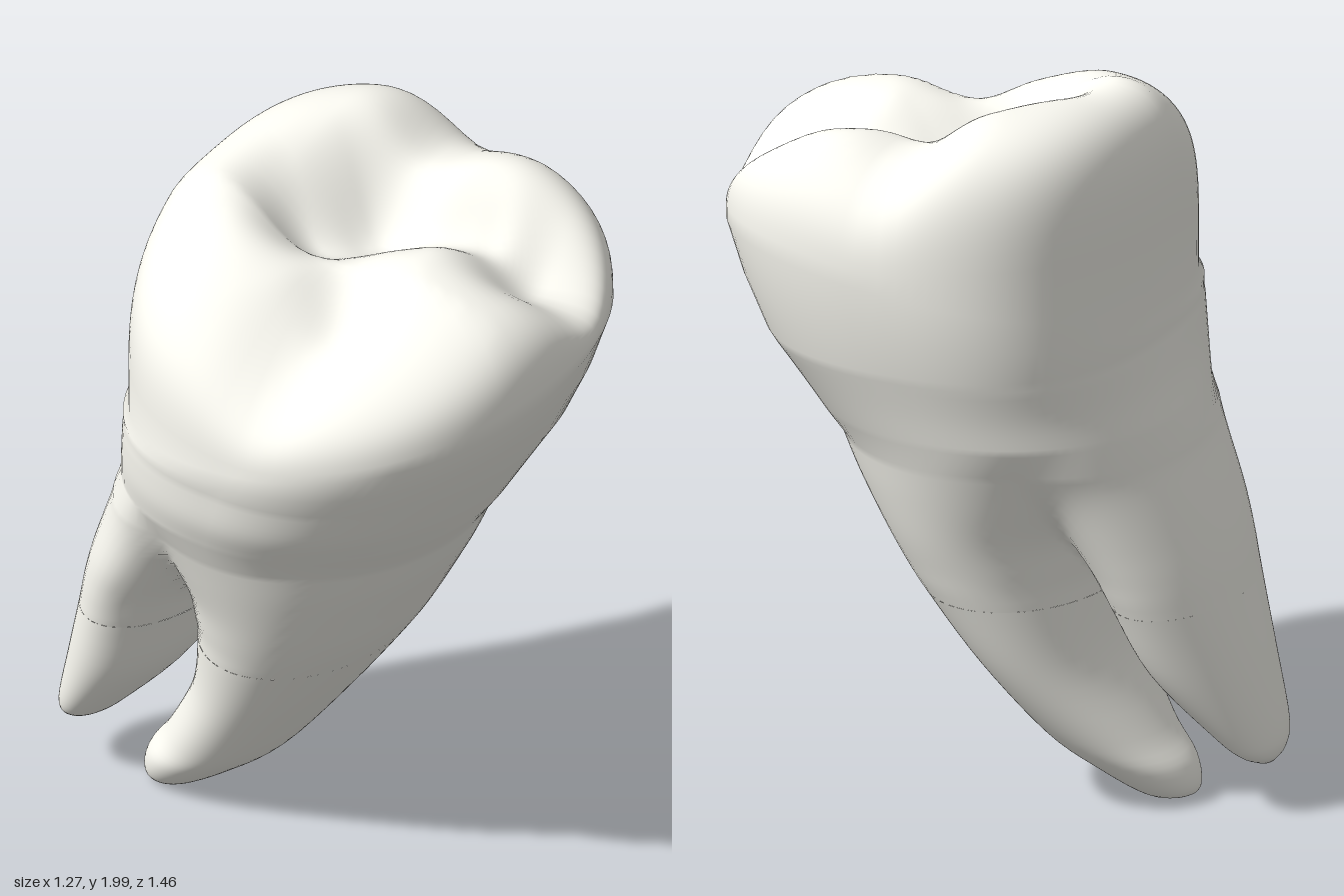
import * as THREE from 'three';

const SEG = 96;
const clamp01 = (v) => Math.min(1, Math.max(0, v));
const lerp = THREE.MathUtils.lerp;

// Rounded outline of a level [y, xMin, xMax, zFront, zBack]; e sets squareness
function ring([y, xL, xR, zF, zB], eFront = 1, eBack = 1, corner = 0) {
  const cx = (xL + xR) / 2, cz = (zF + zB) / 2, pts = [];
  for (let j = 0; j < SEG; j++) {
    const a = (j / SEG) * Math.PI * 2, c = Math.cos(a), s = Math.sin(a);
    const e = s > 0 ? eFront - corner * Math.max(0, 2 * c * s) : eBack;
    pts.push(new THREE.Vector3(
      cx + Math.sign(c) * Math.abs(c) ** e * (xR - xL) / 2, y,
      cz + Math.sign(s) * Math.abs(s) ** e * (zF - zB) / 2));
  }
  return pts;
}

// Distance from (ox, oz) along (c, s) to the far side of a level's ellipse
function reach([, xL, xR, zF, zB], ox, oz, c, s) {
  const a = (xR - xL) / 2, b = (zF - zB) / 2;
  const px = (ox - (xL + xR) / 2) / a, pz = (oz - (zF + zB) / 2) / b;
  const dx = c / a, dz = s / b;
  const A = dx * dx + dz * dz, B = px * dx + pz * dz, C = px * px + pz * pz - 1;
  const disc = B * B - A * C;
  return disc < 0 ? 0 : Math.max(0, (-B + Math.sqrt(disc)) / A);
}

// One outline around both roots, where they merge into the trunk (t: 0 low, 1 high)
function mergedRing(front, back, t) {
  const ox = lerp((front[1] + front[2] + back[1] + back[2]) / 4, 0, t * t);
  const oz = lerp((front[4] + back[3]) / 2, 0, t * t);
  return Array.from({ length: SEG }, (_, j) => {
    const a = (j / SEG) * Math.PI * 2, c = Math.cos(a), s = Math.sin(a);
    const r = (reach(front, ox, oz, c, s) ** 16 + reach(back, ox, oz, c, s) ** 16) ** (1 / 16);
    return new THREE.Vector3(ox + c * r, front[0], oz + s * r);
  });
}

// Smoothly subdivide a list of levels
const STEPS = 5;
function smoothLevels(levels) {
  const a = new THREE.CatmullRomCurve3(levels.map((l) => new THREE.Vector3(l[1], l[0], l[2])), false, 'catmullrom');
  const b = new THREE.CatmullRomCurve3(levels.map((l) => new THREE.Vector3(l[3], l[0], l[4])), false, 'catmullrom');
  const n = (levels.length - 1) * STEPS, out = [];
  for (let i = 0; i <= n; i++) {
    const p = a.getPoint(i / n), q = b.getPoint(i / n);
    out.push([p.y, p.x, p.z, q.x, q.z]);
  }
  return out;
}

// Skin a stack of rings, lowest first
function skin(rings) {
  const pos = [], idx = [];
  rings.forEach((r) => r.forEach((p) => pos.push(p.x, p.y, p.z)));
  for (let i = 0; i < rings.length - 1; i++) {
    for (let j = 0; j < SEG; j++) {
      const k = (j + 1) % SEG;
      const a = i * SEG + j, b = i * SEG + k, c = a + SEG, d = b + SEG;
      idx.push(a, c, b, b, c, d);
    }
  }
  const g = new THREE.BufferGeometry();
  g.setAttribute('position', new THREE.Float32BufferAttribute(pos, 3));
  g.setIndex(idx);
  g.computeVertexNormals();
  return g;
}

const centreOf = (r) => {
  const c = r.reduce((s, p) => s.add(p), new THREE.Vector3()).divideScalar(r.length);
  return r.map(() => c.clone());
};

// Broad front root sweeping backwards, and the straighter, shorter back root.
// The last five levels of each share heights and merge into the trunk.
const frontLevels = smoothLevels([
  [0.0, -0.13, -0.07, -0.41, -0.46],
  [0.025, -0.17, 0.01, -0.34, -0.505],
  [0.1, -0.215, 0.09, -0.225, -0.495],
  [0.2, -0.245, 0.165, -0.1, -0.43],
  [0.4, -0.305, 0.27, 0.06, -0.335],
  [0.6, -0.37, 0.35, 0.205, -0.305],
  [0.7, -0.405, 0.385, 0.27, -0.31],
  [0.8, -0.44, 0.42, 0.325, -0.33],
  [0.92, -0.485, 0.46, 0.39, -0.4],
  [1.03, -0.525, 0.495, 0.44, -0.47],
]);
const backLevels = smoothLevels([
  [0.13, -0.15, -0.08, -0.67, -0.71],
  [0.16, -0.21, -0.02, -0.62, -0.73],
  [0.22, -0.265, 0.03, -0.55, -0.73],
  [0.4, -0.33, 0.14, -0.39, -0.69],
  [0.6, -0.375, 0.225, -0.305, -0.64],
  [0.7, -0.4, 0.26, -0.26, -0.615],
  [0.8, -0.425, 0.295, -0.2, -0.585],
  [0.92, -0.445, 0.34, -0.12, -0.545],
  [1.03, -0.465, 0.385, -0.05, -0.505],
]);
const SHARED = 4 * STEPS;

// Grooves of the chewing surface: [x0, z0, x1, z1, depth, width]
const grooves = [
  [-0.04, 0.0, 0.1, 0.08, 0.2, 0.17],
  [0.08, 0.08, 0.2, 0.36, 0.12, 0.12],
  [0.2, 0.54, 0.24, 0.75, 0.19, 0.17],
  [-0.05, 0.1, -0.3, 0.25, 0.06, 0.12],
  [-0.3, 0.25, -0.65, 0.18, 0.05, 0.12],
  [0.1, 0.06, 0.65, 0.1, 0.07, 0.12],
];

function chewingHeight(x, z) {
  let h = 2.0 + 0.06 * x - 0.12 * THREE.MathUtils.smoothstep(z, -0.15, 0.3);
  h += 0.05 * Math.exp(-(((x - 0.45) / 0.18) ** 2) - ((z - 0.34) / 0.2) ** 2);
  h -= 0.36 * Math.max(0, -x - 0.15);
  let keep = 0;
  for (const [x0, z0, x1, z1, depth, width] of grooves) {
    const dx = x1 - x0, dz = z1 - z0;
    const t = clamp01(((x - x0) * dx + (z - z0) * dz) / (dx * dx + dz * dz));
    const d = Math.hypot(x - x0 - t * dx, z - z0 - t * dz);
    keep += (depth * Math.exp(-((d / width) ** 2))) ** 3;
  }
  return h - keep ** (1 / 3);
}

function crownGeometry() {
  // trunk
  const front = frontLevels.slice(-SHARED - 1), back = backLevels.slice(-SHARED - 1);
  const rings = front.map((l, i) => mergedRing(l, back[i], i / SHARED));

  // neck and lower crown
  smoothLevels([
    [1.1, -0.56, 0.52, 0.49, -0.495],
    [1.2, -0.6, 0.55, 0.55, -0.465],
    [1.32, -0.622, 0.59, 0.62, -0.44],
  ]).forEach((l) => {
    const square = clamp01((l[0] - 1.0) / 0.3);
    rings.push(ring(l, 1 - 0.05 * square, 0.95 - 0.17 * square, 0.1 * square));
  });

  // widest line, tilted towards the front and one side
  const rim = ring([1.5, -0.635, 0.63, 0.73, -0.43], 0.98, 0.78, 0.12);
  rim.forEach((p) => { p.y = 1.47 + 0.12 * p.x + 0.13 * p.z; });
  const mid = centreOf(rim)[0];
  mid.z = 0.13;
  const below = rings[rings.length - 1];
  rings.push(below.map((p, j) => p.clone().lerp(rim[j], 0.5).add(
    new THREE.Vector3((rim[j].x - mid.x) * 0.012, 0, (rim[j].z - mid.z) * 0.012))));
  rings.push(rim);

  // rounded shoulders closing over the cusps
  const N = 44;
  for (let k = 1; k <= N; k++) {
    const s = Math.cos((k / N) * Math.PI / 2);
    rings.push(rim.map((p, j) => {
      const rear = Math.max(0, -Math.sin((j / SEG) * Math.PI * 2));
      const pw = 3.1 + 2 * rear;
      const x = mid.x + (p.x - mid.x) * s, z = mid.z + (p.z - mid.z) * s;
      const rise = Math.max(0, 1 - s ** pw) ** (1 / pw);
      return new THREE.Vector3(x, p.y + (chewingHeight(x, z) - p.y) * rise, z);
    }));
  }
  return skin(rings);
}

function rootGeometry(levels) {
  const rings = levels.slice(0, levels.length - SHARED).map((l) => ring(l));
  rings.unshift(centreOf(rings[0]));
  return skin(rings);
}

export function createModel() {
  const model = new THREE.Group();
  model.name = 'molarTooth';
  const material = new THREE.MeshStandardMaterial({ color: 0xfffef6, side: THREE.DoubleSide });
  const add = (name, geometry) => {
    const mesh = new THREE.Mesh(geometry, material);
    mesh.name = name;
    model.add(mesh);
  };
  add('crownAndTrunk', crownGeometry());
  add('frontRoot', rootGeometry(frontLevels));
  add('backRoot', rootGeometry(backLevels));
  return model;
}
